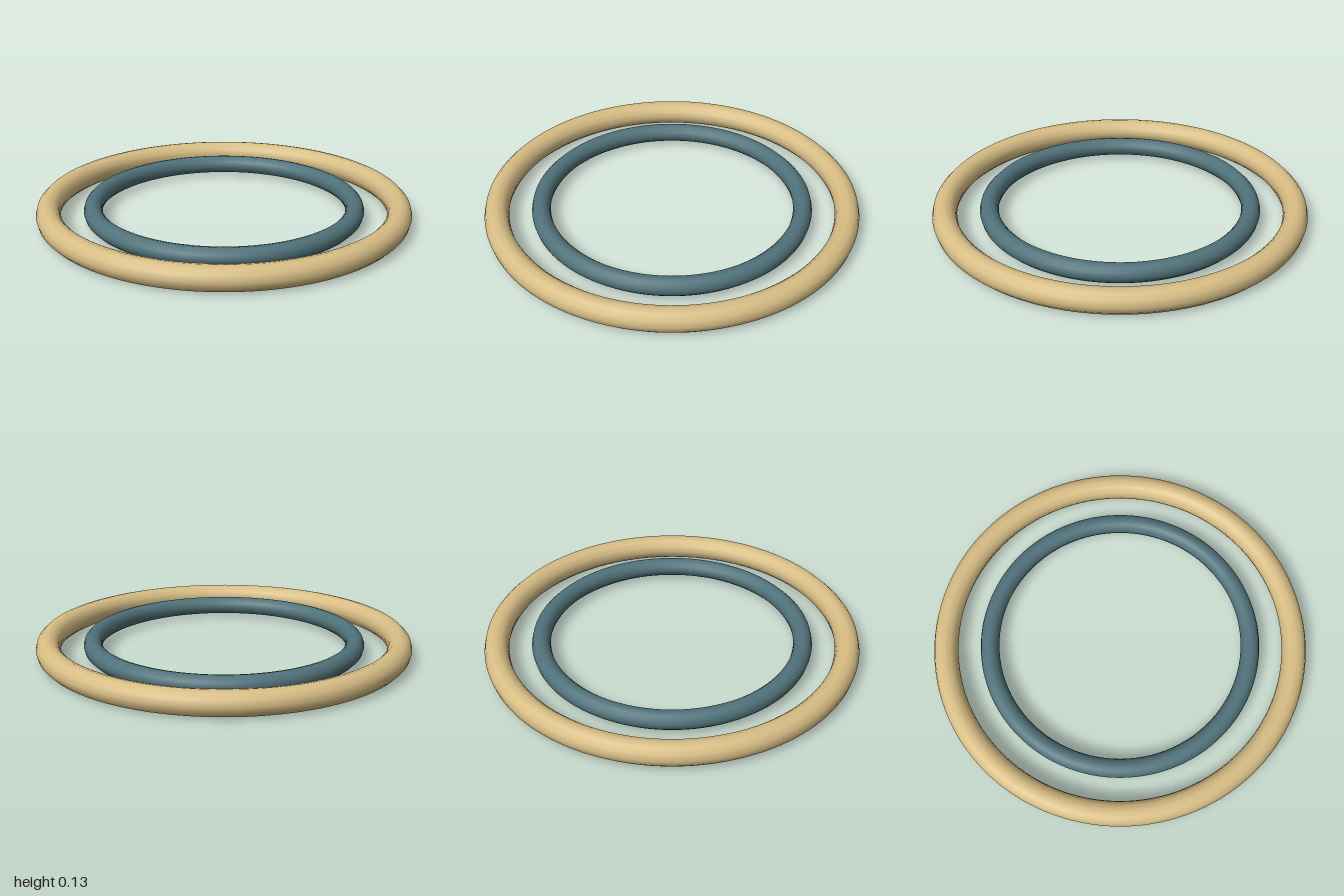
import * as THREE from 'three';

export function createModel() {
  const model = new THREE.Group();
  model.name = 'concentricRings';

  const sand = new THREE.MeshStandardMaterial({ color: 0xd8be85 });
  sand.name = 'sand';
  const teal = new THREE.MeshStandardMaterial({ color: 0x50727a });
  teal.name = 'teal';

  // Both rings lie flat and share the same centre height
  const centreHeight = 0.065;
  function addRing(name, radius, tube, material) {
    const geometry = new THREE.TorusGeometry(radius, tube, 12, 128);
    geometry.rotateX(-Math.PI / 2);
    const ring = new THREE.Mesh(geometry, material);
    ring.name = name;
    ring.position.y = centreHeight;
    model.add(ring);
  }

  addRing('outerRing', 0.935, 0.065, sand);
  addRing('innerRing', 0.7, 0.05, teal);

  return model;
}
